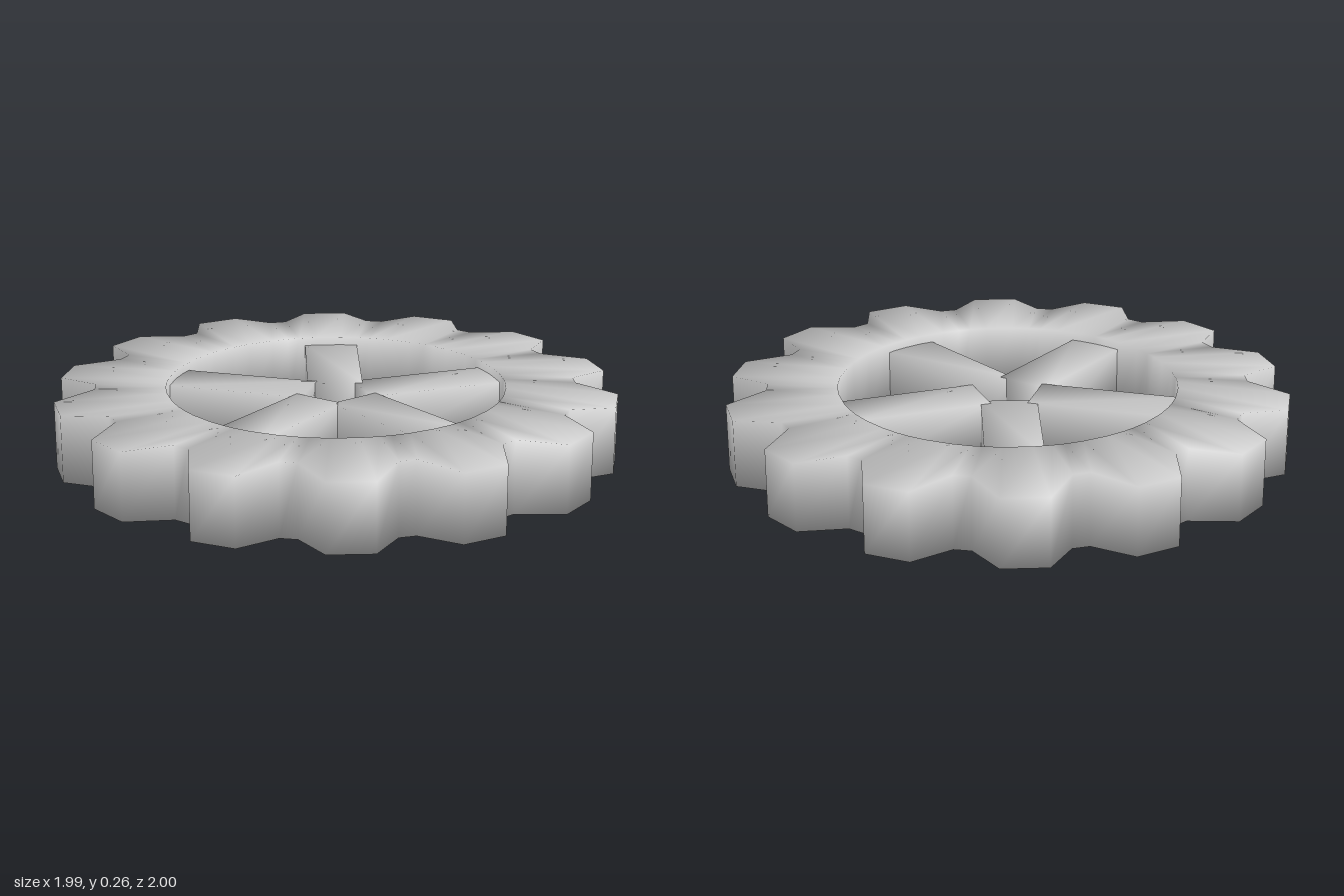
import * as THREE from 'three';
import { mergeVertices } from 'three/addons/utils/BufferGeometryUtils.js';

const TEETH = 14, SPOKES = 5, MID = 0.13;
const DEG = Math.PI / 180;

// Toothed ring: a four-point cross-section swept round, with shared smooth normals
function toothedRingGeometry() {
  const pitch = 360 / TEETH;
  // one tooth: [angle from its middle, outer radius, half height]
  const tooth = [[-10.8, 0.857, 0.13], [-4.6, 1, 0.121], [4.6, 1, 0.121], [10.8, 0.857, 0.13]];
  const inner = 0.605;
  const positions = [], index = [];
  for (let t = 0; t < TEETH; t++) {
    for (const [offset, outer, half] of tooth) {
      const a = (9.4 + t * pitch + offset) * DEG;
      const section = [[inner, -0.13], [outer, -half], [outer, half], [inner, 0.13]];
      for (const [r, y] of section) positions.push(r * Math.cos(a), MID + y, r * Math.sin(a));
    }
  }
  const n = TEETH * tooth.length;
  for (let i = 0; i < n; i++) {
    const j = (i + 1) % n;
    for (let k = 0; k < 4; k++) {
      const l = (k + 1) % 4;
      const a = i * 4 + k, b = i * 4 + l, c = j * 4 + k, d = j * 4 + l;
      index.push(a, b, c, b, d, c);
    }
  }
  const geometry = new THREE.BufferGeometry();
  geometry.setAttribute('position', new THREE.Float32BufferAttribute(positions, 3));
  geometry.setIndex(index);
  geometry.computeVertexNormals();
  return geometry;
}

// Square bar with softened shading, running outward along +x
function spokeGeometry() {
  const box = new THREE.BoxGeometry(0.51, 0.2, 0.2);
  box.deleteAttribute('normal');
  box.deleteAttribute('uv');
  const geometry = mergeVertices(box);
  geometry.translate(0.355, MID, 0);
  geometry.computeVertexNormals();
  return geometry;
}

export function createModel() {
  const model = new THREE.Group();
  model.name = 'gearWheel';
  const material = new THREE.MeshStandardMaterial({ color: 0xcccccc });

  const ring = new THREE.Mesh(toothedRingGeometry(), material);
  ring.name = 'toothedRing';
  model.add(ring);

  // Spokes stop short of the middle, leaving it open
  const bar = spokeGeometry();
  for (let i = 0; i < SPOKES; i++) {
    const spoke = new THREE.Mesh(bar, material);
    spoke.name = `spoke${i + 1}`;
    spoke.rotation.y = -i * 2 * Math.PI / SPOKES;
    model.add(spoke);
  }
  return model;
}
